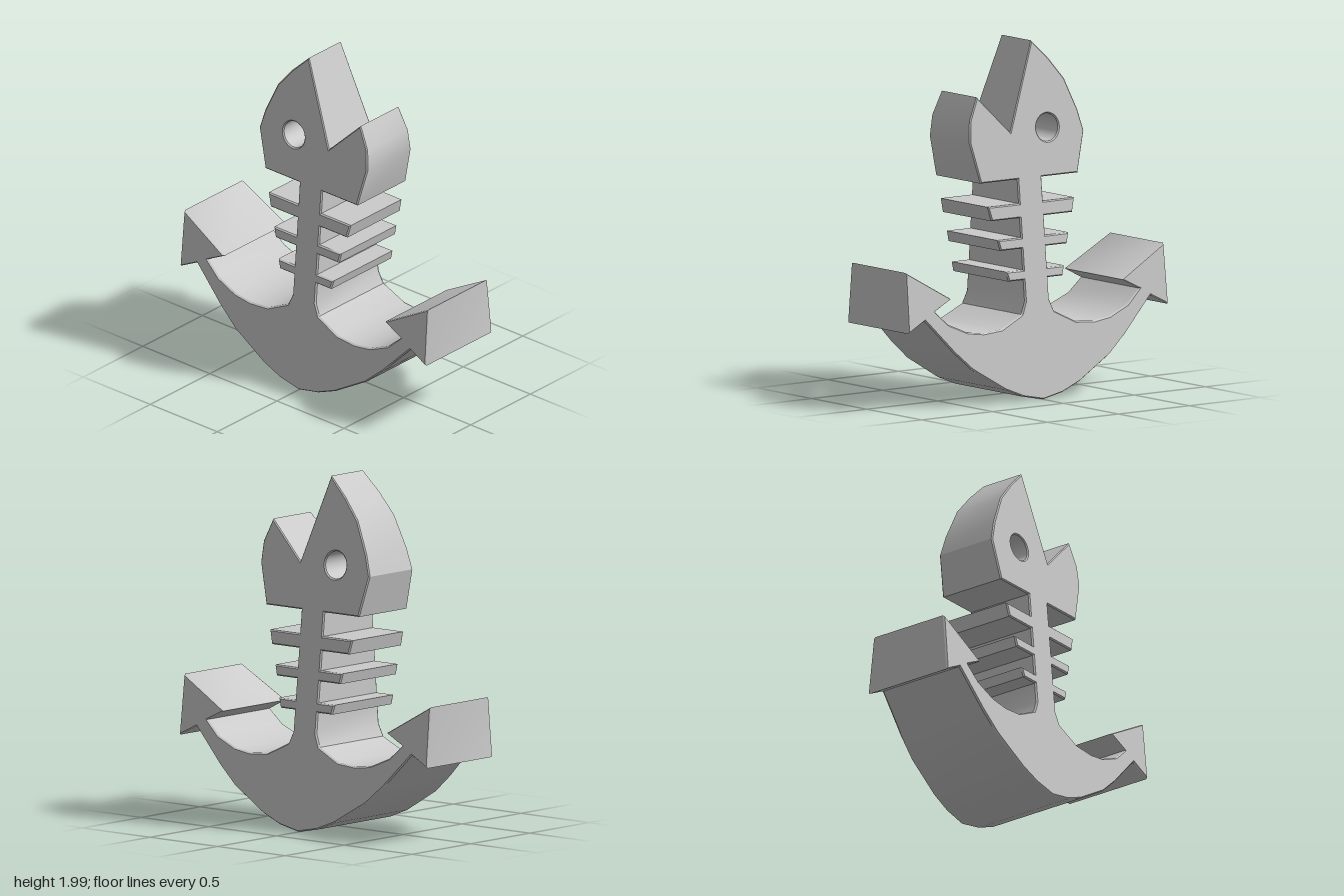
import * as THREE from 'three';
import { toCreasedNormals } from 'three/addons/utils/BufferGeometryUtils.js';

// right half of the anchor, from the keel up to the shank
const anchorHalf = [
  [0.14, 0.035], [0.265, 0.085], [0.485, 0.215], [0.605, 0.32], [0.795, 0.515],
  [0.915, 0.455], [0.91, 0.795], [0.60, 0.62], [0.72, 0.56], // arrow fluke
  [0.63, 0.48], [0.5, 0.425], [0.39, 0.41], [0.26, 0.42], [0.115, 0.49], [0.085, 0.56],
];

// ribs: bottom y, top y, half width at bottom, half width at top
const ribs = [
  [0.68, 0.735, 0.19, 0.205],
  [0.855, 0.915, 0.235, 0.25],
  [1.025, 1.105, 0.285, 0.305],
];

// fish head with an open mouth, from right to left
const head = [
  [0.345, 1.24], [0.405, 1.47], [0.395, 1.59], [0.335, 1.72], [0.115, 1.505], [-0.07, 2.0],
  [-0.185, 1.89], [-0.285, 1.77], [-0.365, 1.59], [-0.40, 1.47], [-0.34, 1.24],
];

const SPINE = 0.085;

// one side of the body below the head
function sideOutline() {
  const points = [...anchorHalf];
  for (const [y0, y1, w0, w1] of ribs) {
    points.push([SPINE, y0], [w0, y0], [w1, y1], [SPINE, y1]);
  }
  points.push([SPINE, 1.24]);
  return points;
}

// the depth shrinks towards the top, a little more at the back
function taper(geometry) {
  const p = geometry.attributes.position;
  for (let i = 0; i < p.count; i++) {
    const y = p.getY(i);
    const front = 0.322 - 0.0835 * y;
    const back = -0.322 + 0.1025 * y;
    p.setZ(i, THREE.MathUtils.lerp(back, front, p.getZ(i)));
  }
  return geometry;
}

export function createModel() {
  const group = new THREE.Group();
  group.name = 'fishboneAnchor';

  // closed silhouette: keel, right side, head, mirrored left side
  const right = sideOutline();
  const left = right.map(([x, y]) => [-x, y]).reverse();
  const outline = [[0, 0.007], ...right, ...head, ...left];
  const shape = new THREE.Shape(outline.map(([x, y]) => new THREE.Vector2(x, y)));

  // eye
  const eye = new THREE.Path();
  eye.absarc(-0.145, 1.51, 0.077, 0, Math.PI * 2, true);
  shape.holes.push(eye);

  // solid of unit depth with fine bevelled edges, then tapered
  const bevel = 0.018;
  const solid = new THREE.ExtrudeGeometry(shape, {
    depth: 1 - 2 * bevel,
    curveSegments: 24,
    bevelThickness: bevel,
    bevelSize: 0.007,
    bevelOffset: -0.007,
    bevelSegments: 1,
  });
  solid.translate(0, 0, bevel);

  const body = new THREE.Mesh(
    toCreasedNormals(taper(solid), 0.5),
    new THREE.MeshStandardMaterial({ color: 0xcccccc }),
  );
  body.name = 'anchorBody';
  group.add(body);
  return group;
}
